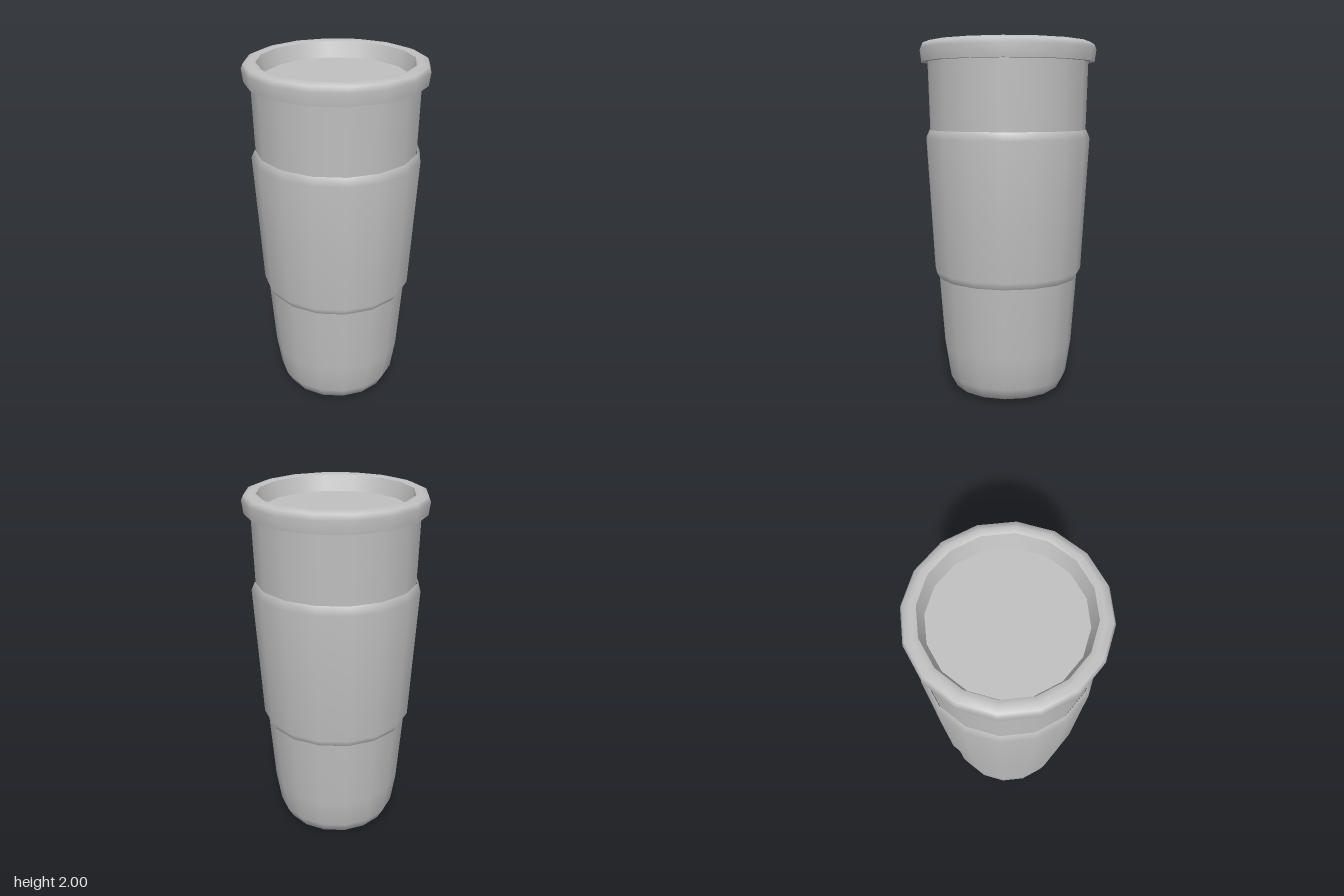
import * as THREE from 'three';

const SIDES = 16;

// Revolve a profile of [radius, height] pairs; outer walls run upwards
function turned(name, profile, material) {
  const points = profile.map(([r, y]) => new THREE.Vector2(r, y));
  const mesh = new THREE.Mesh(new THREE.LatheGeometry(points, SIDES), material);
  mesh.name = name;
  return mesh;
}

export function createModel() {
  const grey = new THREE.MeshStandardMaterial({ color: 0xc0c0c0 });
  grey.name = 'plain grey';

  const cup = new THREE.Group();
  cup.name = 'cup';

  // Each part is a separate smooth band, so the seams between them stay sharp
  const parts = {
    // body
    base: [[0, 0], [0.25, 0]],
    lowerBody: [[0.25, 0], [0.31, 0.025], [0.345, 0.09], [0.373, 0.27], [0.403, 0.68]],
    upperBody: [[0.443, 1.5], [0.453, 1.89]],
    // raised grip sleeve with bevelled ends
    sleeve: [[0.403, 0.675], [0.425, 0.715], [0.446, 1.1], [0.467, 1.47], [0.446, 1.515]],
    // rolled lid rim
    rimUnderside: [[0.45, 1.89], [0.488, 1.89]],
    rim: [[0.488, 1.89], [0.497, 1.96], [0.485, 1.987], [0.45, 2], [0.42, 1.99]],
    // recessed lid
    recessWall: [[0.42, 1.99], [0.39, 1.905]],
    lidFloor: [[0.39, 1.905], [0, 1.905]],
  };
  for (const [name, profile] of Object.entries(parts)) cup.add(turned(name, profile, grey));

  return cup;
}
